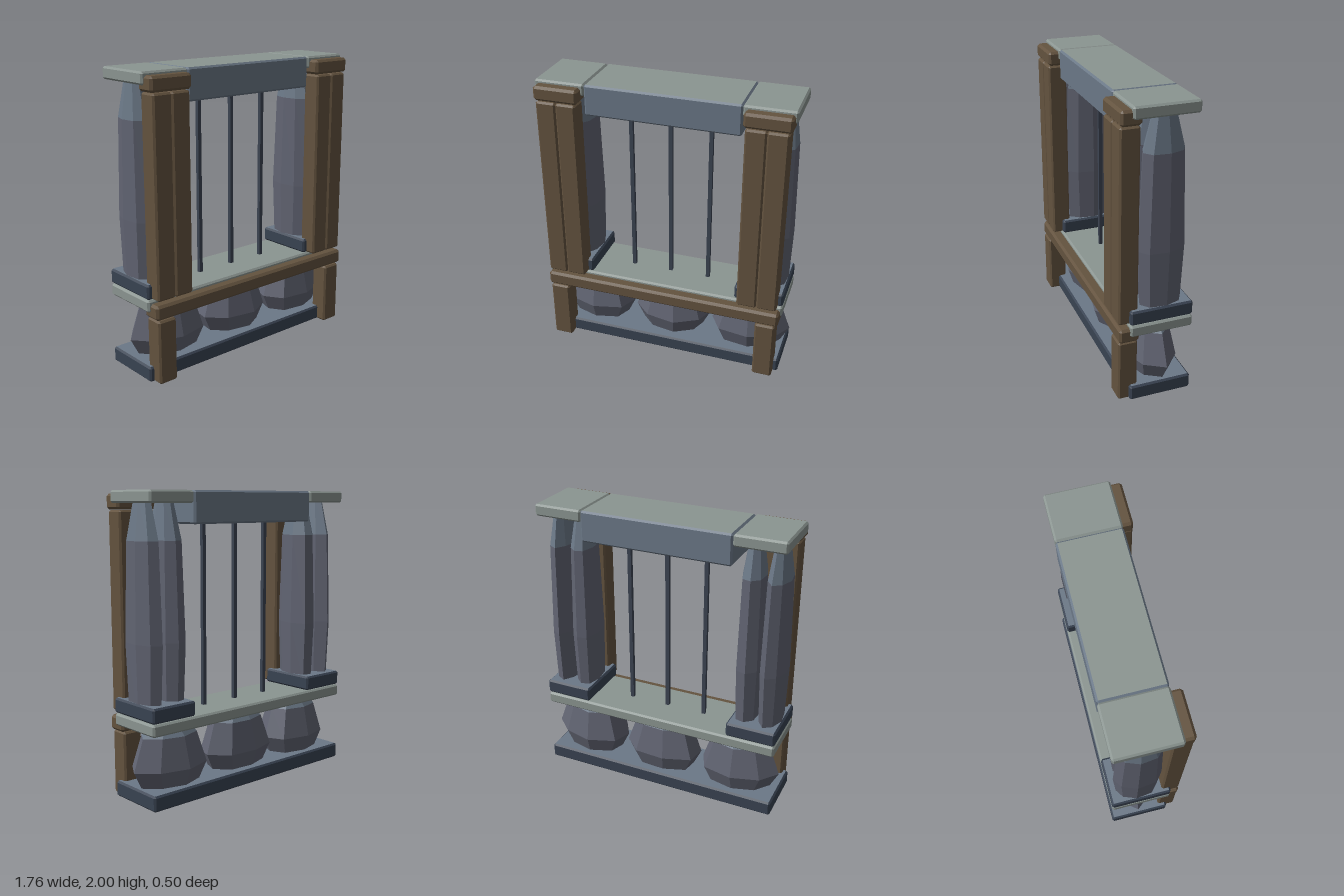
import * as THREE from 'three';
import { ConvexGeometry } from 'three/addons/geometries/ConvexGeometry.js';

const mat = (color) => new THREE.MeshStandardMaterial({ color, flatShading: true });
const WOOD = mat(0x64533f), PALE = mat(0x8b9591), NAVY = mat(0x394352), BLUE = mat(0x6b7887),
  ROCK = mat(0x616472), IRON = mat(0x3c4452);

// Gives each triangle material 1 where the test holds, else material 0
function paint(geo, test) {
  const p = geo.attributes.position, t = new THREE.Triangle(), n = new THREE.Vector3(), c = new THREE.Vector3();
  geo.clearGroups();
  for (let i = 0; i < p.count; i += 3) {
    t.setFromAttributeAndIndices(p, i, i + 1, i + 2);
    geo.addGroup(i, 3, test(t.getNormal(n), t.getMidpoint(c)) ? 1 : 0);
  }
  return geo;
}

export function createModel() {
  const model = new THREE.Group();
  const add = (name, geo, material) => {
    const mesh = new THREE.Mesh(geo, material);
    mesh.name = name;
    model.add(mesh);
    return mesh;
  };

  // Block with chamfered edges, given by its limits; the top may have its own colour
  function block(name, [x0, x1], [y0, y1], [z0, z1], side, top = side, b = 0.012) {
    const pts = [];
    const h = [(x1 - x0) / 2, (y1 - y0) / 2, (z1 - z0) / 2];
    for (const sx of [-1, 1]) for (const sy of [-1, 1]) for (const sz of [-1, 1])
      for (let k = 0; k < 3; k++) {
        const v = h.map((e, i) => (i === k ? e : e - b));
        pts.push(new THREE.Vector3(sx * v[0], sy * v[1], sz * v[2]));
      }
    const geo = paint(new ConvexGeometry(pts), (n) => n.y > 0.9);
    add(name, geo, [side, top]).position.set((x0 + x1) / 2, (y0 + y1) / 2, (z0 + z1) / 2);
  }

  // Faceted stone: profile of [scale, y] rings, slightly uneven around its axis
  function stone(name, x, rx, rz, profile, bandY, turn, seed) {
    const sides = 8, rows = profile.length + 2;
    const pts = [[0, profile[0][1]], ...profile, [0, profile[profile.length - 1][1]]]
      .map(([s, y]) => new THREE.Vector2(s, y));
    const lathe = new THREE.LatheGeometry(pts, sides, turn);
    const p = lathe.attributes.position;
    for (let i = 0; i < p.count; i++) {
      const k = Math.floor(i / rows) % sides;
      const f = 1 + 0.05 * Math.sin(k * 2.4 + seed * 1.7);
      p.setXYZ(i, p.getX(i) * rx * f, p.getY(i), p.getZ(i) * rz * f);
    }
    const geo = paint(lathe.toNonIndexed(), (n, c) => c.y > bandY);
    geo.computeVertexNormals();
    add(name, geo, [ROCK, BLUE]).position.set(x, 0, -0.045);
  }

  const full = [-0.875, 0.855], depth = [-0.245, 0.18], woodZ = [0.115, 0.25];

  // Base, sill and lintel
  block('base', full, [0, 0.105], depth, NAVY, BLUE);
  block('sill', full, [0.485, 0.565], depth, PALE);
  block('lintel', [-0.53, 0.515], [1.79, 2], depth, BLUE, PALE);

  // Boulders between base and sill
  const boulder = [[0.72, 0.06], [1, 0.22], [0.74, 0.43], [0.46, 0.5]];
  [-0.57, 0.005, 0.585].forEach((x, i) =>
    stone('boulder', x, 0.285, 0.185, boulder, 0.43, [0, 0.2, 0.1][i], i));

  // Pillars: plinth, two tall stones, capital and timber facing on each side
  const shaft = [[0.87, 0.6], [1, 1.05], [0.85, 1.69], [0.46, 1.94]];
  [[-0.875, -0.53], [0.515, 0.855]].forEach(([x0, x1], i) => {
    const cx = (x0 + x1) / 2, tx = [-0.706, 0.685][i];
    block('plinth', [x0, x1], [0.57, 0.67], depth, NAVY, BLUE);
    block('capital', [x0, x1], [1.92, 2], depth, PALE);
    for (const s of [-1, 1]) {
      stone('pillarStone', cx + s * 0.082, 0.09, 0.165, shaft, 1.69, s * 0.15, i * 2 + s);
      const px = tx + s * 0.069;
      block('upperPost', [px - 0.069, px + 0.069], [0.57, 1.875], [0.12, 0.25], WOOD);
    }
    block('postCap', [tx - 0.152, tx + 0.155], [1.88, 1.978], woodZ, WOOD, WOOD, 0.016);
    const lx = tx + [-0.069, 0.069][i];
    block('lowerPost', [lx - 0.069, lx + 0.069], [0, 0.437], [0.12, 0.25], WOOD);
  });

  // Timber rail across the front
  block('rail', [-0.857, 0.843], [0.442, 0.542], woodZ, WOOD, WOOD, 0.016);

  // Window bars
  for (const x of [-0.288, -0.009, 0.27])
    add('bar', new THREE.BoxGeometry(0.026, 1.26, 0.026), IRON).position.set(x, 1.18, -0.03);

  return model;
}
